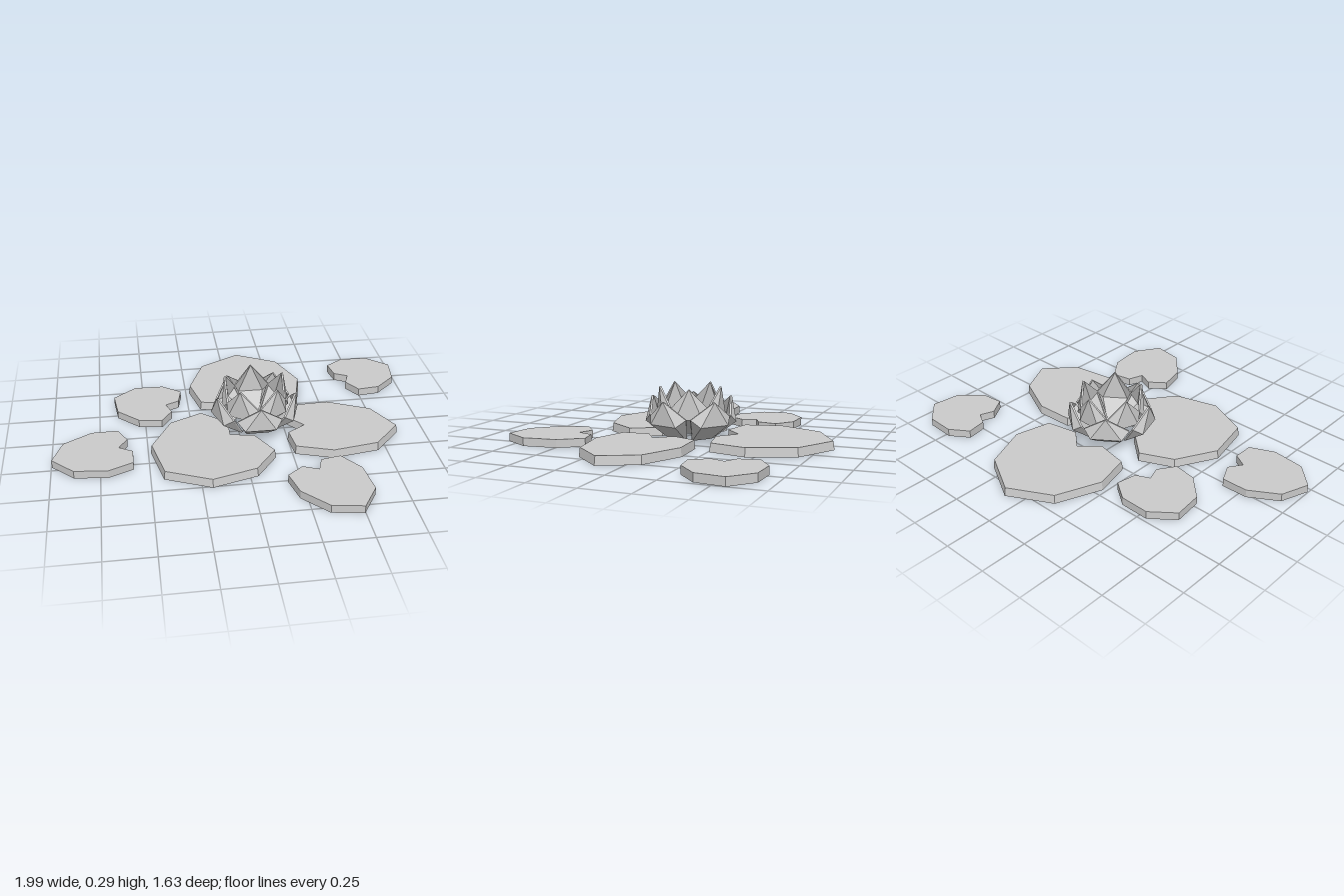
import * as THREE from 'three';

const material = new THREE.MeshStandardMaterial({ color: 0xcccccc, flatShading: true, side: THREE.DoubleSide });

// Half outline of a lily pad, from the tip round to the notch apex
const HALF = [[0, 0.364], [0.23, 0.24], [0.326, 0], [0.278, -0.2], [0.1, -0.235], [0, -0.145]];

// Notched slab: origin (x, z), tip pointing along (dx, dz), scaled across and along
function pad(name, x, z, dx, dz, across, along, height, inset) {
  const mirrored = HALF.slice(1, -1).reverse().map(([u, v]) => [-u, v]);
  const outline = [...HALF, ...mirrored].map(([u, v]) => new THREE.Vector2(u * across, v * along));
  const geo = new THREE.ExtrudeGeometry(new THREE.Shape(outline), { depth: height, bevelEnabled: false });
  geo.rotateX(-Math.PI / 2);
  // Draw the upper rim in slightly
  const p = geo.attributes.position;
  for (let i = 0; i < p.count; i++) {
    if (p.getY(i) > height / 2) p.setXYZ(i, p.getX(i) * inset, p.getY(i), p.getZ(i) * inset);
  }
  geo.computeVertexNormals();
  const mesh = new THREE.Mesh(geo, material);
  mesh.name = name;
  mesh.position.set(x, 0, z);
  mesh.rotation.y = Math.atan2(-dx, -dz);
  return mesh;
}

// Cupped petal facing +z; base, low and side are [half width, height, radius], tip is [height, radius]
function petalGeometry(base, low, side, tip, thickness) {
  const left = ([w, y, r]) => [-w, y, r];
  const outer = [left(base), base, side, [0, ...tip], left(side), left(low), low];
  const inner = outer.map(([x, y, r]) => [x * 0.97, y, r - thickness]);
  const n = outer.length;
  const faces = [[0, 1, 6], [0, 6, 5], [1, 2, 6], [2, 3, 6], [6, 3, 5], [3, 4, 5], [4, 0, 5]];
  const index = [];
  for (const [a, b, c] of faces) index.push(a, b, c, a + n, c + n, b + n);
  // Rim joining the two skins
  for (let a = 0; a < 5; a++) {
    const b = (a + 1) % 5;
    index.push(b, a, a + n, b, a + n, b + n);
  }
  const geo = new THREE.BufferGeometry();
  geo.setAttribute('position', new THREE.Float32BufferAttribute([...outer, ...inner].flat(), 3));
  geo.setIndex(index);
  const flat = geo.toNonIndexed();
  flat.computeVertexNormals();
  return flat;
}

function petalRing(name, geometry, startAngle) {
  const ring = new THREE.Group();
  ring.name = name + 's';
  for (let i = 0; i < 5; i++) {
    const petal = new THREE.Mesh(geometry, material);
    petal.name = name;
    petal.rotation.y = startAngle + (i * Math.PI * 2) / 5;
    ring.add(petal);
  }
  return ring;
}

export function createModel() {
  const model = new THREE.Group();
  model.name = 'waterLily';

  // Large pads around the flower
  model.add(
    pad('largePadBack', 0.095, -0.457, 0, -1, 1, 1, 0.046, 0.98),
    pad('largePadRight', -0.165, 0.187, -0.777, 0.629, 1, 0.95, 0.046, 0.98),
    pad('largePadLeft', 0.492, 0.078, 0.99, 0.14, 0.78, 1, 0.046, 0.98),
  );

  // Small outlying pads
  model.add(
    pad('smallPadBackLeft', 0.797, -0.49, 0.937, -0.35, 0.6, 0.59, 0.043, 1),
    pad('smallPadBackRight', -0.46, -0.297, -0.923, -0.384, 0.6, 0.61, 0.043, 1),
    pad('smallPadRight', -0.751, 0.166, -0.975, 0.22, 0.585, 0.69, 0.043, 1),
    pad('smallPadFront', 0.388, 0.575, 0.414, 0.91, 0.59, 0.72, 0.043, 1),
  );

  // Flower: two rings of five petals, staggered by half a step
  const flower = new THREE.Group();
  flower.name = 'flower';
  flower.position.set(0.095, 0, -0.05);
  const outer = petalGeometry([0.06, 0.015, 0.11], [0.083, 0.1, 0.225], [0.12, 0.138, 0.185], [0.225, 0.225], 0.01);
  const inner = petalGeometry([0.02, 0.035, 0.025], [0.07, 0.13, 0.17], [0.1, 0.18, 0.135], [0.29, 0.17], 0.01);
  flower.add(petalRing('outerPetal', outer, 0), petalRing('innerPetal', inner, Math.PI));
  model.add(flower);
  return model;
}
